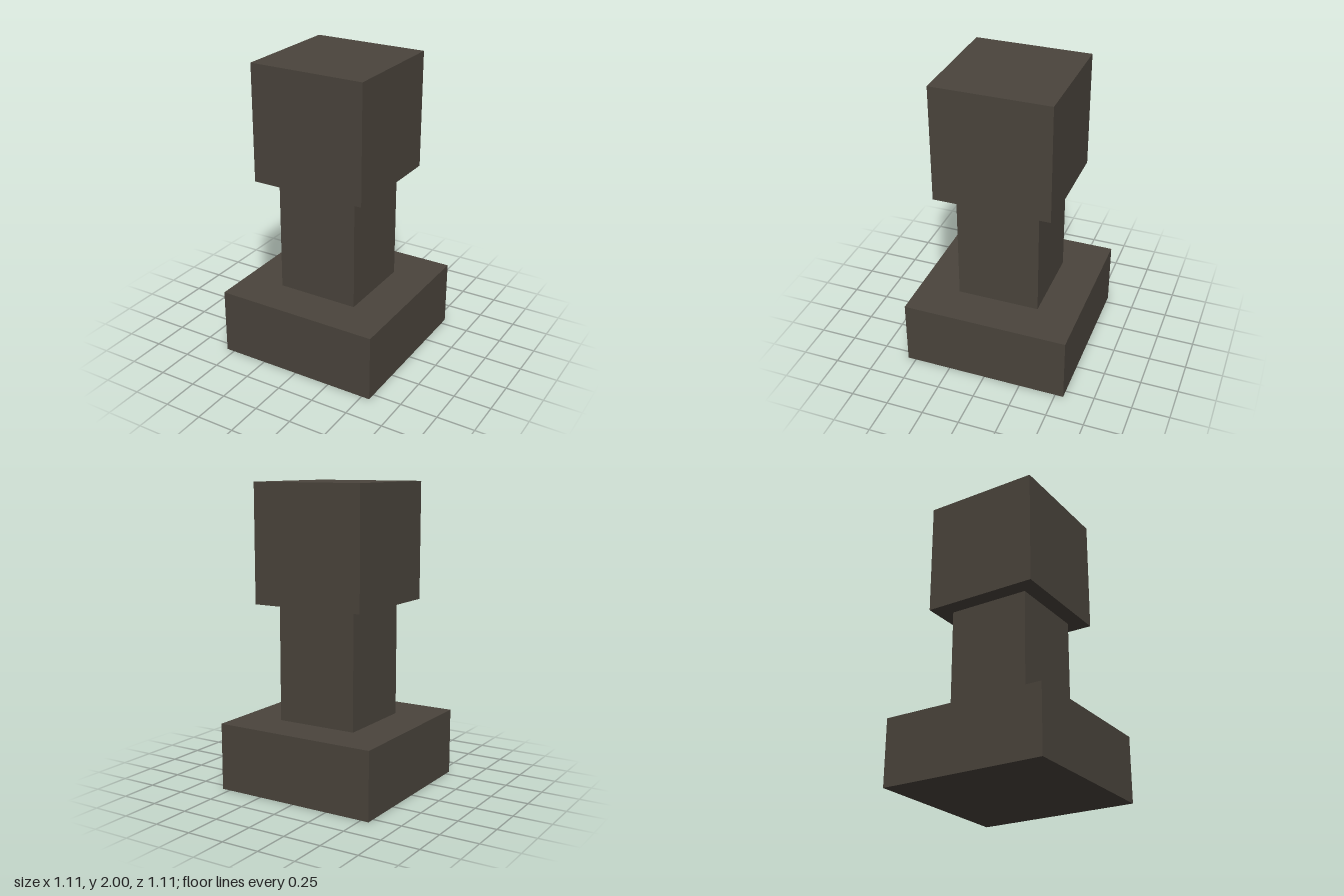
import * as THREE from 'three';

const U = 2 / 18; // the post is 18 modules tall

export function createModel() {
  const model = new THREE.Group();
  model.name = 'post';
  const stone = new THREE.MeshStandardMaterial({ color: 0x4a443c });
  stone.name = 'dark stone';

  // Square block: width, bottom and top in modules
  const block = (name, width, bottom, top) => {
    const height = top - bottom;
    const mesh = new THREE.Mesh(new THREE.BoxGeometry(width * U, height * U, width * U), stone);
    mesh.name = name;
    mesh.position.y = (bottom + height / 2) * U;
    model.add(mesh);
  };

  block('base', 10, 0, 4);
  block('shaft', 5, 4, 11);
  block('head', 7, 11, 18);
  return model;
}
